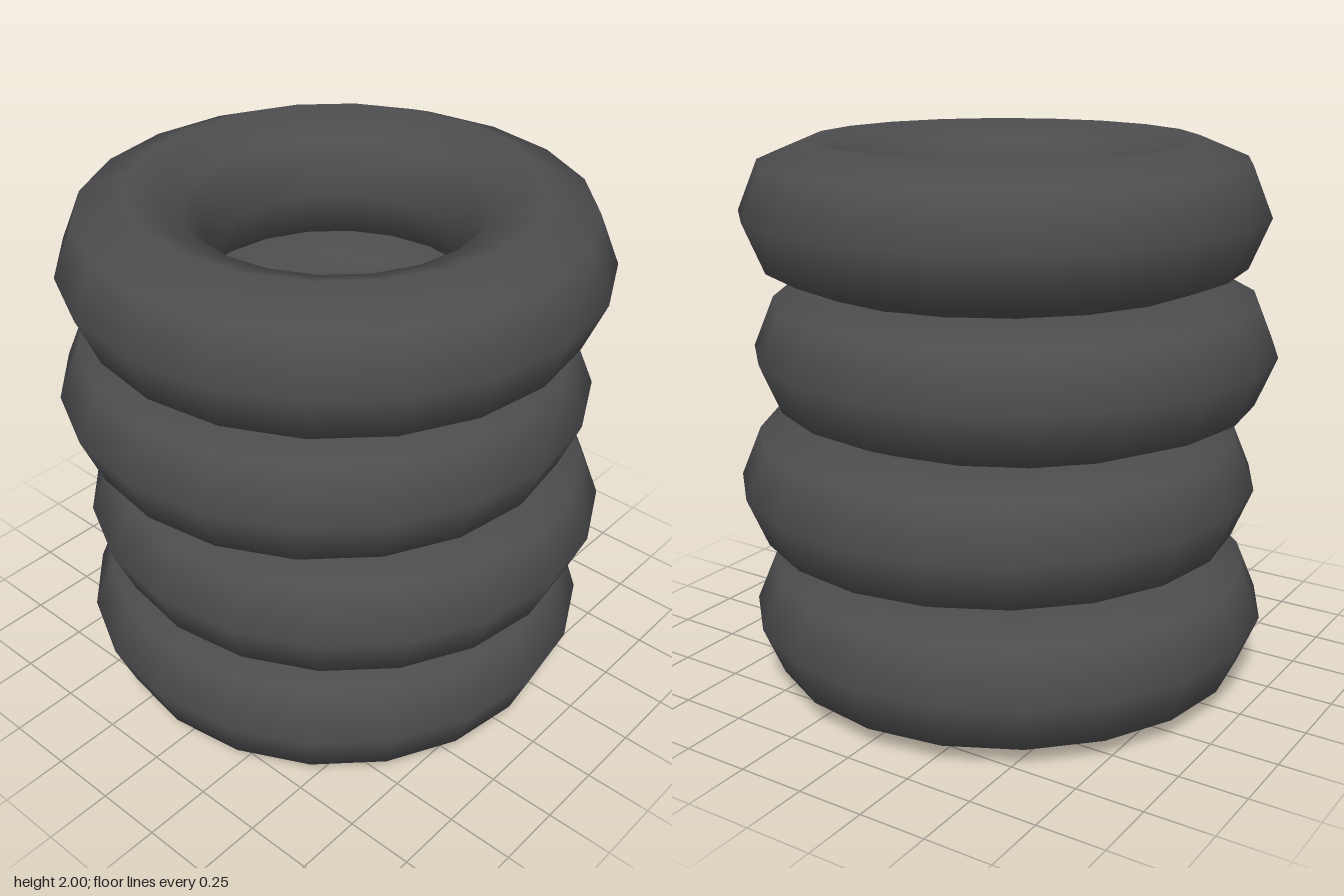
import * as THREE from 'three';

// Stack of four tyres, each nudged a little off centre
export function createModel() {
  const model = new THREE.Group();
  model.name = 'tyreStack';

  const ringRadius = 0.707;
  const tubeRadius = 0.258;
  const spacing = 0.495;
  const nudge = 0.024;

  const rubber = new THREE.MeshStandardMaterial({ color: 0x4d4d50 });
  const geometry = new THREE.TorusGeometry(ringRadius, tubeRadius, 8, 20);
  geometry.rotateX(-Math.PI / 2);

  // x and z direction of the nudge, from the bottom tyre up
  const offsets = [[-1, -1], [1, -1], [-1, 1], [1, 1]];
  // the sideways lean alternates, the lower pair sits back and the upper pair forward
  offsets.forEach(([, sz], i) => {
    const sx = i % 2 === 0 ? -1 : 1;
    const tyre = new THREE.Mesh(geometry, rubber);
    tyre.name = `tyre${i + 1}`;
    tyre.position.set(sx * nudge, tubeRadius + i * spacing, sz * nudge);
    model.add(tyre);
  });

  // Swap the middle pair so the lean reads left, right, left, right
  return model;
}
